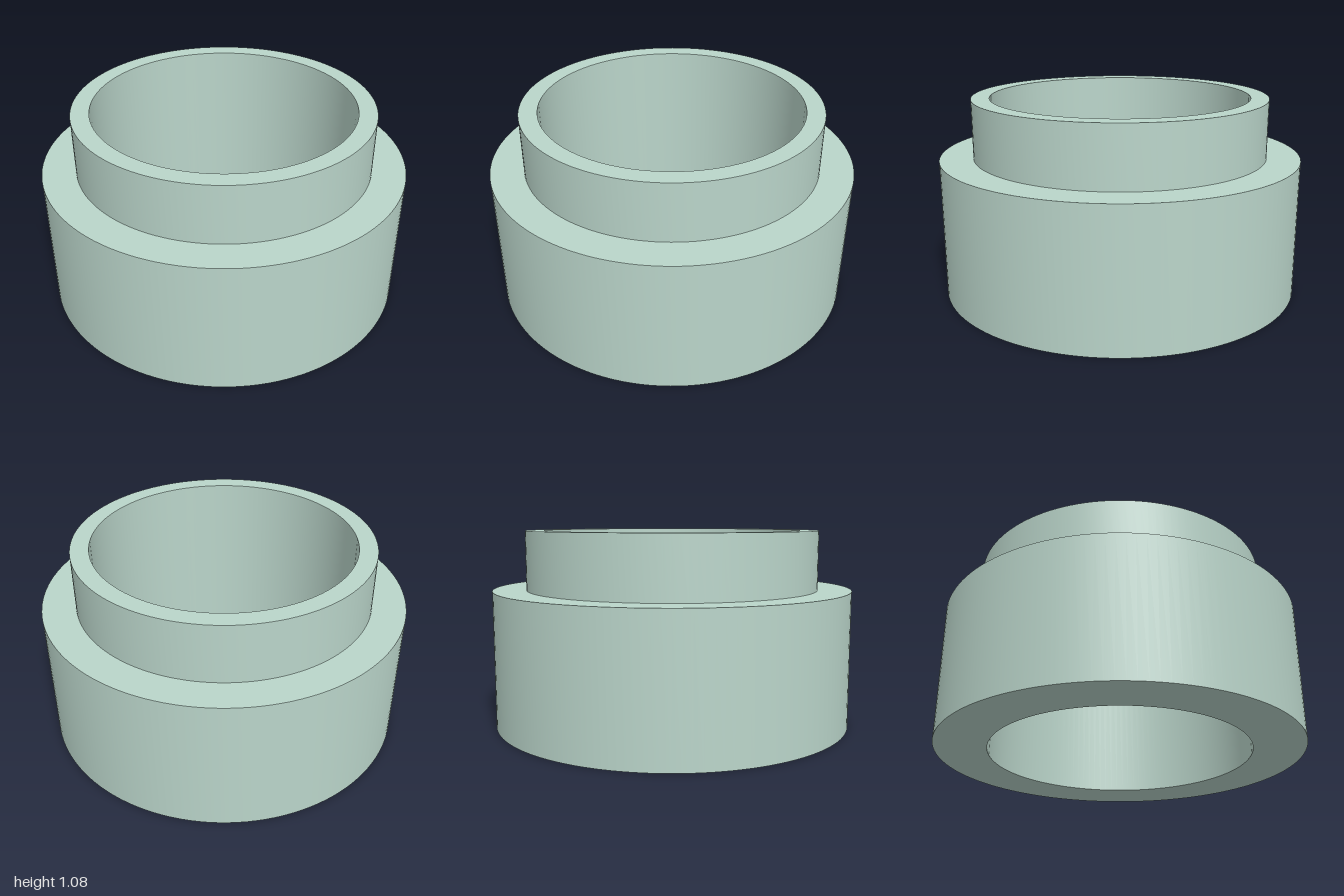
import * as THREE from 'three';
import { toCreasedNormals } from 'three/addons/utils/BufferGeometryUtils.js';

export function createModel() {
  const group = new THREE.Group();
  group.name = 'steppedBushing';

  const bore = 0.717, collar = 0.817, body = 1;
  const shoulderY = 0.755, topY = 1.08;

  // Closed cross-section: underside, body wall, shoulder, collar wall, rim, bore
  const profile = [
    [bore, 0], [body, 0], [body, shoulderY], [collar, shoulderY],
    [collar, topY], [bore, topY], [bore, 0],
  ].map(([r, y]) => new THREE.Vector2(r, y));

  // Smooth round walls with sharp rims
  const geometry = toCreasedNormals(new THREE.LatheGeometry(profile, 128), Math.PI / 6);
  const ring = new THREE.Mesh(geometry, new THREE.MeshStandardMaterial({ color: 0xbad5ca }));
  ring.name = 'steppedRing';
  group.add(ring);

  return group;
}
